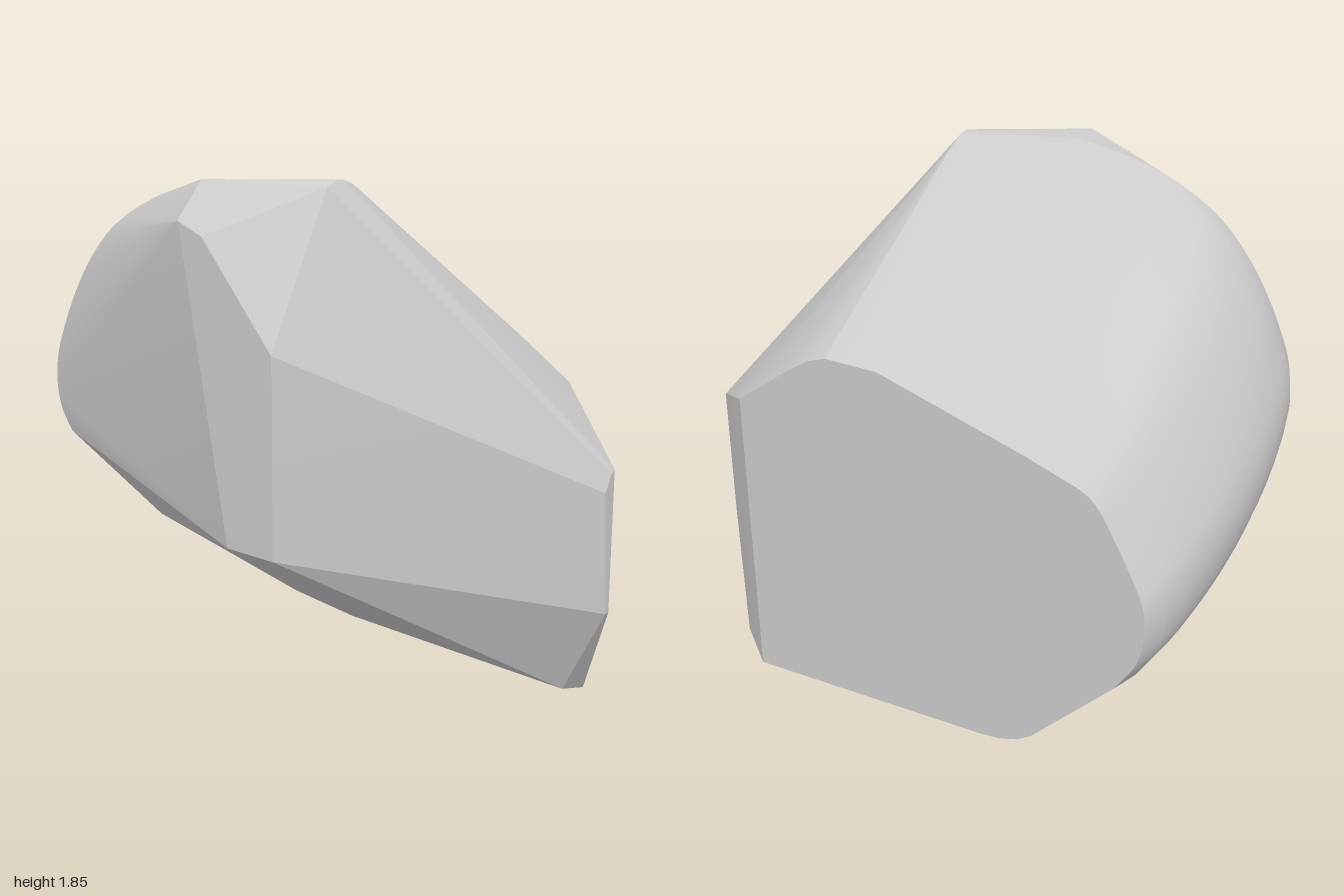
import * as THREE from 'three';
import { ConvexGeometry } from 'three/addons/geometries/ConvexGeometry.js';
import { toCreasedNormals } from 'three/addons/utils/BufferGeometryUtils.js';

const V = (x, y, z) => new THREE.Vector3(x, y, z);

// Rounded rear arc of an end cap, from [z, y] pairs at a fixed x
const capArc = (x, pairs) =>
  new THREE.CatmullRomCurve3(pairs.map(([z, y]) => V(x, y, z)), false, 'centripetal');

export function createModel() {
  const group = new THREE.Group();
  group.name = 'convexStone';

  const narrowCap = capArc(-0.41, [
    [-0.1, 1.845], [-0.38, 1.785], [-0.6, 1.675], [-0.72, 1.56], [-0.81, 1.43],
    [-0.88, 1.29], [-0.92, 1.18], [-0.93, 1.08], [-0.91, 0.98], [-0.86, 0.9],
  ]);
  const wideCap = capArc(0.645, [
    [0.07, 1.335], [0, 1.31], [-0.65, 1.12], [-0.71, 1.08], [-0.78, 0.97],
    [-0.84, 0.86], [-0.88, 0.77], [-0.89, 0.68], [-0.87, 0.56], [-0.8, 0.44],
  ]);

  // Rear surface: loft between the two arcs, bulging outwards in the middle
  const points = [];
  const rows = 27, columns = 14;
  for (let i = 0; i <= rows; i++) {
    const u = i / rows;
    const a = narrowCap.getPoint(u), b = wideCap.getPoint(u);
    const bulge = 0.09 * THREE.MathUtils.smoothstep(u, 0, 0.25);
    const angle = Math.min(u / 0.7, 1.3) * Math.PI / 2;
    for (let j = 0; j <= columns; j++) {
      const t = j / columns;
      const swell = bulge * Math.pow(4 * t * (1 - t), 0.7);
      const p = a.clone().lerp(b, t);
      p.y += swell * Math.cos(angle);
      p.z -= swell * Math.sin(angle);
      points.push(p);
    }
  }

  // Remaining corners of the wide flat side
  for (const [z, y] of [
    [0.64, 0.005], [0.64, 1.1], [0.42, 1.26], [0.34, 1.31], [0.27, 1.335],
    [-0.5, 0.125], [-0.45, 0.09], [-0.38, 0.065], [-0.3, 0.055],
  ]) points.push(V(0.645, y, z));

  // Small flat side
  for (const [z, y] of [[0.3, 0.67], [0.3, 1.33], [0.02, 1.68], [-0.08, 1.725], [0.11, 0.68]])
    points.push(V(-0.645, y, z));

  points.push(
    // Top ridge and sloping crown
    V(-0.53, 1.85, -0.08), V(-0.36, 1.83, 0.3), V(-0.32, 1.845, 0.3),
    V(-0.28, 1.85, 0.3), V(-0.24, 1.84, 0.3), V(-0.2, 1.82, 0.3),
    V(0.05, 1.675, 0.1), V(0.3, 1.532, 0.01),
    // Front nose
    V(0.31, 0.89, 1), V(0.29, 0.88, 1), V(0.25, 0.82, 1), V(0.29, 0.385, 1), V(0.31, 0.385, 1),
    // Front facet corners
    V(0.5, 0.82, 0.82), V(0.5, 0.005, 0.82), V(0.5, 0, 0.75), V(0.32, 0.06, 0.83),
    // Rounded lower edge
    V(-0.4, 0.49, 0.2), V(-0.42, 0.66, -0.4), V(-0.15, 0.34, 0.25),
  );

  const body = new THREE.Mesh(
    toCreasedNormals(new ConvexGeometry(points), 0.22),
    new THREE.MeshStandardMaterial({ color: 0xcccccc }),
  );
  body.name = 'stoneBody';
  group.add(body);
  return group;
}
